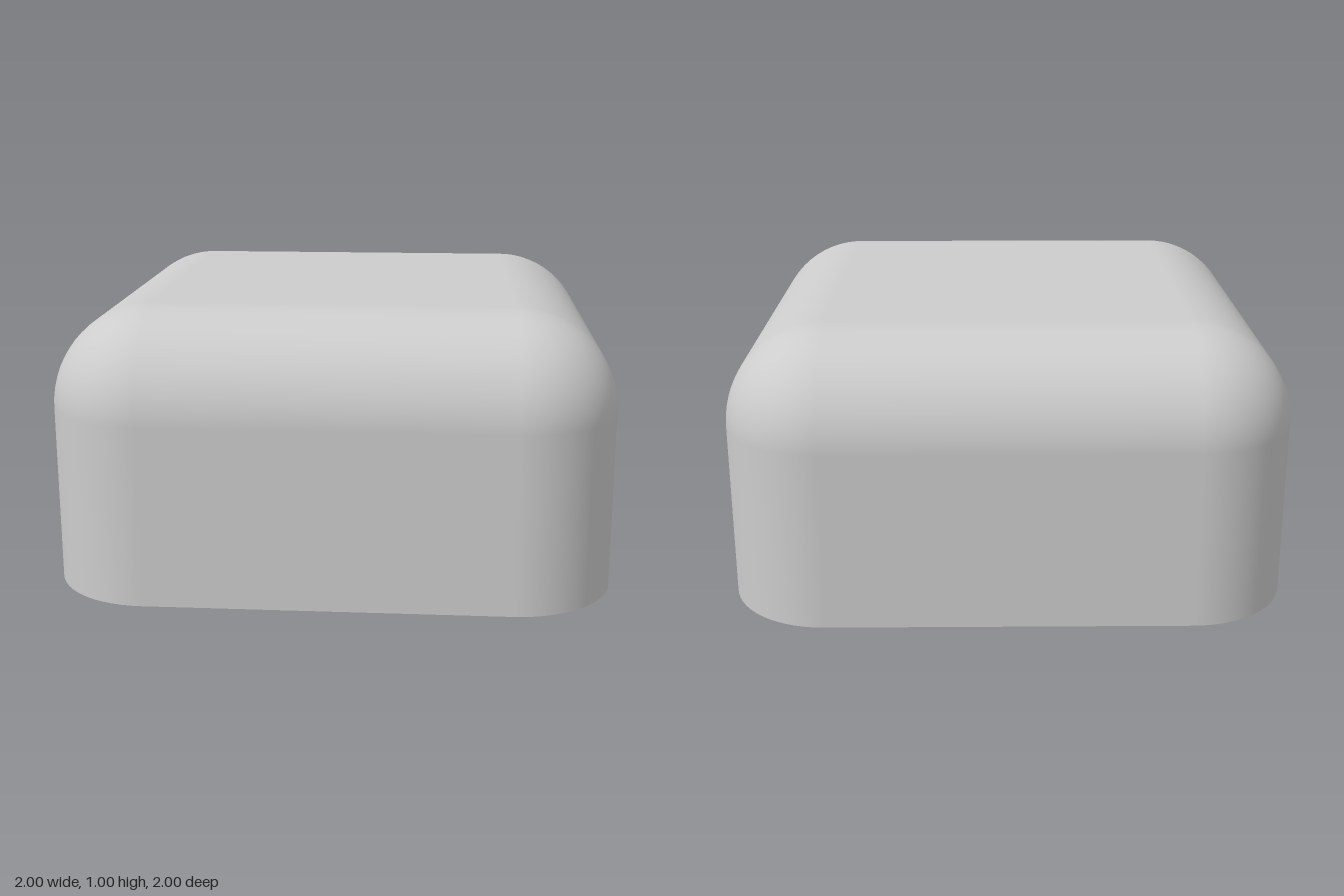
import * as THREE from 'three';

const CORE = 0.64;    // half size of the square that the rounded corners sweep around
const OUTER = 0.36;   // outside corner radius
const INNER = 0.29;   // inside corner radius (wall 0.07 thick)
const STEPS = 16;     // facets per quarter round
const SLOT = { x: 0.375, y: 0.125, w: 0.25, h: 0.065, d: 0.032 };

// Points round a square with rounded corners: position, plus outward direction
function ring(radius) {
  const points = [];
  for (let k = 0; k < 4; k++) {
    const mid = Math.PI / 4 + k * Math.PI / 2;
    const cx = CORE * Math.sign(Math.cos(mid)), cz = CORE * Math.sign(Math.sin(mid));
    for (let i = 0; i <= STEPS; i++) {
      const a = (k + i / STEPS) * Math.PI / 2;
      const dx = Math.cos(a), dz = Math.sin(a);
      points.push({ x: cx + radius * dx, z: cz + radius * dz, dx, dz });
    }
  }
  return points;
}

// Rounded open-bottom skin; the inside one faces inwards and leaves its flat walls out
function skin(radius, inside) {
  const pos = [], nor = [], idx = [], s = inside ? -1 : 1;
  const n = 4 * (STEPS + 1);
  const addRow = (r, y, tilt) => {
    const c = Math.cos(tilt), up = Math.sin(tilt);
    for (const p of ring(r)) {
      pos.push(p.x, y, p.z);
      nor.push(s * p.dx * c, s * up, s * p.dz * c);
    }
  };
  addRow(radius, 0, 0);
  for (let j = 0; j <= STEPS; j++) {
    const t = j / STEPS * Math.PI / 2;
    addRow(radius * Math.cos(t), CORE + radius * Math.sin(t), t);
  }
  const rows = STEPS + 2;
  const tri = (a, b, c) => inside ? idx.push(a, c, b) : idx.push(a, b, c);
  for (let j = 0; j < rows - 1; j++) {
    for (let i = 0; i < n; i++) {
      if (inside && j === 0 && i % (STEPS + 1) === STEPS) continue;
      const a = j * n + i, b = j * n + (i + 1) % n;
      tri(a, a + n, b);
      tri(b, a + n, b + n);
    }
  }
  // Flat top
  const last = (rows - 1) * n, centre = pos.length / 3;
  pos.push(0, CORE + radius, 0);
  nor.push(0, s, 0);
  for (let i = 0; i < n; i++) tri(last + i, centre, last + (i + 1) % n);

  const g = new THREE.BufferGeometry();
  g.setAttribute('position', new THREE.Float32BufferAttribute(pos, 3));
  g.setAttribute('normal', new THREE.Float32BufferAttribute(nor, 3));
  g.setIndex(idx);
  return g;
}

function rectangle(PathType, x0, y0, x1, y1) {
  return new PathType([[x0, y0], [x1, y0], [x1, y1], [x0, y1]].map(p => new THREE.Vector2(...p)));
}

// Box seen from within, without its front face
function pocketGeometry() {
  const g = new THREE.BoxGeometry(SLOT.w, SLOT.h, SLOT.d);
  const index = Array.from(g.index.array);
  index.splice(24, 6);
  g.setIndex(index.reverse());
  g.clearGroups();
  g.computeVertexNormals();
  return g;
}

export function createModel() {
  const model = new THREE.Group();
  model.name = 'roundedCover';
  const grey = new THREE.MeshStandardMaterial({ color: 0xcccccc });
  grey.name = 'light grey';

  const add = (parent, name, geometry) => {
    const mesh = new THREE.Mesh(geometry, grey);
    mesh.name = name;
    parent.add(mesh);
    return mesh;
  };

  add(model, 'outerShell', skin(OUTER, false));
  add(model, 'innerShell', skin(INNER, true));

  // Bottom rim between the two skins
  const outline = r => ring(r).map(p => new THREE.Vector2(p.x, p.z));
  const rim = new THREE.Shape(outline(OUTER));
  rim.holes.push(new THREE.Path(outline(INNER)));
  add(model, 'bottomRim', new THREE.ShapeGeometry(rim).rotateX(Math.PI / 2));

  // Four inner walls, each with two shallow latch slots
  const wallShape = rectangle(THREE.Shape, -CORE, 0, CORE, CORE);
  for (const side of [-1, 1]) {
    const x = side * SLOT.x;
    wallShape.holes.push(rectangle(THREE.Path,
      x - SLOT.w / 2, SLOT.y - SLOT.h / 2, x + SLOT.w / 2, SLOT.y + SLOT.h / 2));
  }
  const wallGeometry = new THREE.ShapeGeometry(wallShape);
  const pocket = pocketGeometry();
  for (let k = 0; k < 4; k++) {
    const wall = new THREE.Group();
    wall.name = 'innerWall' + (k + 1);
    wall.rotation.y = k * Math.PI / 2;
    add(wall, 'wallFace', wallGeometry).position.z = -(CORE + INNER);
    for (const side of [-1, 1]) {
      add(wall, 'latchSlot', pocket)
        .position.set(side * SLOT.x, SLOT.y, -(CORE + INNER + SLOT.d / 2));
    }
    model.add(wall);
  }
  return model;
}
